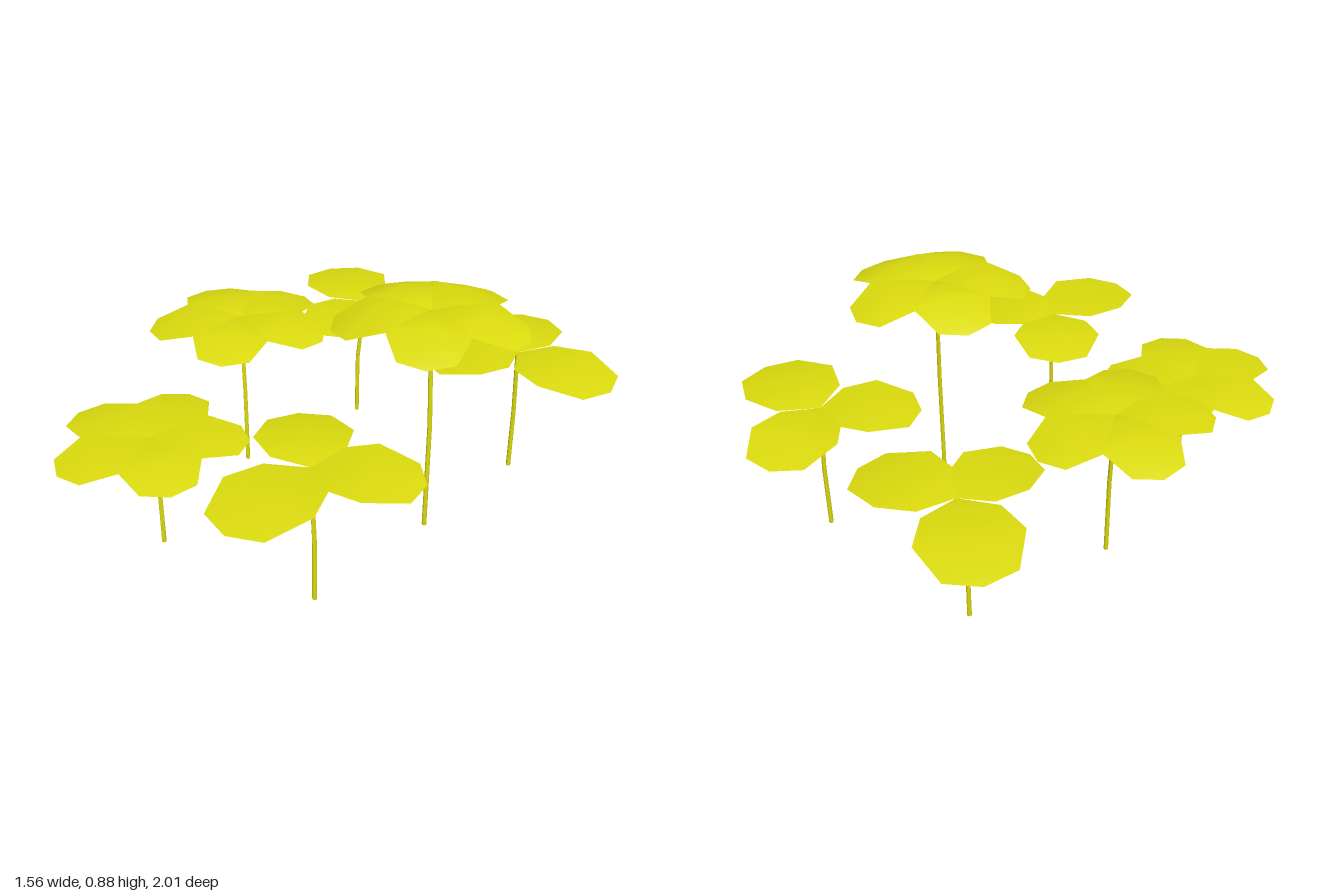
import * as THREE from 'three';

const leafYellow = new THREE.MeshStandardMaterial({ color: 0xdada0e, side: THREE.DoubleSide });
leafYellow.name = 'leafYellow';

// Leaf cross-sections for a length of 1: distance along, half width
const SECTIONS = [[0.19, 0.32], [0.52, 0.44], [0.9, 0.29]];

// Faceted round leaf growing along +x: rises from the base, then droops to the tip
function leafGeometry(length, width, rise, droop) {
  const spine = (t) => t < 0.45
    ? rise * Math.sin((t / 0.45) * Math.PI / 2)
    : rise - (rise + droop) * ((t - 0.45) / 0.55) ** 1.5;
  const pos = [0, 0, 0];
  for (const [t, w] of SECTIONS) {
    for (const side of [-1, 0, 1]) {
      const sag = side ? 0.25 * (rise + droop) * (w / 0.44) : 0;
      pos.push(t * length, spine(t) - sag, side * w * width);
    }
  }
  pos.push(length, spine(1), 0);
  // Base fan, quad strips, tip fan
  const index = [0, 2, 1, 0, 3, 2];
  for (let r = 0; r < SECTIONS.length - 1; r++) {
    for (let c = 0; c < 2; c++) {
      const a = 1 + r * 3 + c, b = a + 1, d = a + 3, e = a + 4;
      index.push(a, b, d, b, e, d);
    }
  }
  index.push(7, 8, 10, 8, 9, 10);
  const g = new THREE.BufferGeometry();
  g.setAttribute('position', new THREE.Float32BufferAttribute(pos, 3));
  g.setIndex(index);
  g.computeVertexNormals();
  return g;
}

// Thin stem: upright to the middle, then leaning to the leaf centre
function stemGeometry(base, top, height) {
  const g = new THREE.CylinderGeometry(0.008, 0.009, height, 6, 2);
  g.translate(0, height / 2, 0);
  const p = g.attributes.position;
  for (let i = 0; i < p.count; i++) {
    const lean = Math.max(0, p.getY(i) / height - 0.5) * 2;
    p.setX(i, p.getX(i) + base[0] + (top[0] - base[0]) * lean);
    p.setZ(i, p.getZ(i) + base[1] + (top[1] - base[1]) * lean);
  }
  g.computeVertexNormals();
  return g;
}

// Five even leaves starting at an angle in degrees, measured from +x towards +z
const five = (start) => [0, 1, 2, 3, 4].map((i) => [start + i * 72, 0.345, 0.325]);

// base and top are [x, z]; each leaf is [angle, length, width]
const PLANTS = [
  { name: 'backLeftPlant', base: [-0.4, -0.495], top: [-0.392, -0.52], height: 0.515, rise: 0.02, droop: 0.015,
    leaves: [[74, 0.345, 0.34], [197, 0.4, 0.4], [329, 0.38, 0.38]] },
  { name: 'backRightPlant', base: [0.31, -0.705], top: [0.313, -0.69], height: 0.515, rise: 0.02, droop: 0.015,
    leaves: [[120, 0.36, 0.38], [229, 0.37, 0.37], [351, 0.4, 0.41]] },
  { name: 'rightPlant', base: [0.485, 0.4], top: [0.46, 0.395], height: 0.515, rise: 0.02, droop: 0.015,
    leaves: [[74, 0.41, 0.4], [210, 0.36, 0.38], [319, 0.37, 0.38]] },
  { name: 'tallPlant', base: [0.4, -0.17], top: [0.367, -0.18], height: 0.86, rise: 0.025, droop: 0.045, leaves: five(45) },
  { name: 'leftPlant', base: [-0.365, 0.1], top: [-0.395, 0.088], height: 0.62, rise: 0.02, droop: 0.03, leaves: five(45) },
  { name: 'frontPlant', base: [-0.095, 0.645], top: [-0.12, 0.653], height: 0.435, rise: 0.013, droop: 0.02, leaves: five(18) },
];

export function createModel() {
  const model = new THREE.Group();
  model.name = 'leafyPlants';
  for (const { name, base, top, height, rise, droop, leaves } of PLANTS) {
    const plant = new THREE.Group();
    plant.name = name;
    const stem = new THREE.Mesh(stemGeometry(base, top, height), leafYellow);
    stem.name = 'stem';
    plant.add(stem);
    for (const [angle, length, width] of leaves) {
      const leaf = new THREE.Mesh(leafGeometry(length, width, rise, droop), leafYellow);
      leaf.name = 'leaf';
      leaf.position.set(top[0], height, top[1]);
      leaf.rotation.y = -THREE.MathUtils.degToRad(angle);
      plant.add(leaf);
    }
    model.add(plant);
  }
  return model;
}
